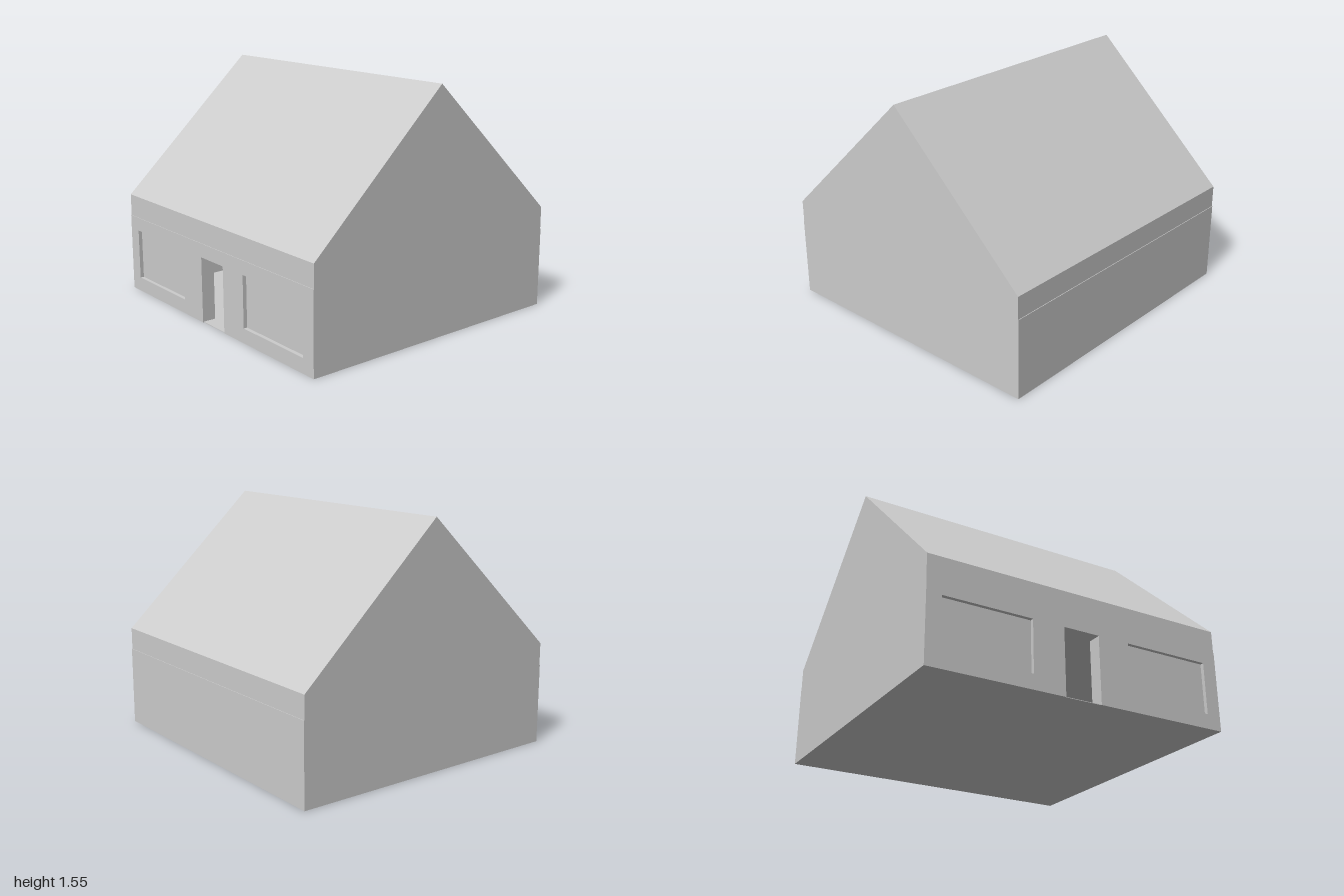
import * as THREE from 'three';

const HALF_X = 1, HALF_Z = 0.947, WALL_H = 0.52, THICK = 0.09;

function rect(path, x0, y0, x1, y1) {
  path.moveTo(x0, y0);
  path.lineTo(x1, y0);
  path.lineTo(x1, y1);
  path.lineTo(x0, y1);
  path.closePath();
  return path;
}

export function createModel() {
  const house = new THREE.Group();
  house.name = 'house';
  const material = new THREE.MeshStandardMaterial({ color: 0xcccccc, flatShading: true });

  const add = (name, geometry, x = 0, y = 0, z = 0) => {
    const mesh = new THREE.Mesh(geometry, material);
    mesh.name = name;
    mesh.position.set(x, y, z);
    house.add(mesh);
    return mesh;
  };
  const box = (name, w, h, d, x, y, z) => add(name, new THREE.BoxGeometry(w, h, d), x, y, z);

  // Front wall with an open doorway and two window openings
  const front = new THREE.Shape();
  [[-HALF_X, 0], [-0.12, 0], [-0.12, 0.43], [0.12, 0.43], [0.12, 0],
    [HALF_X, 0], [HALF_X, WALL_H], [-HALF_X, WALL_H]]
    .forEach(([x, y], i) => (i ? front.lineTo(x, y) : front.moveTo(x, y)));
  front.closePath();
  for (const cx of [-0.618, 0.618]) {
    front.holes.push(rect(new THREE.Path(), cx - 0.288, 0.095, cx + 0.288, 0.43));
  }
  add('frontWall', new THREE.ExtrudeGeometry(front, { depth: THICK, bevelEnabled: false }),
    0, 0, HALF_Z - THICK);

  // Window panes set just behind the wall face
  for (const [name, cx] of [['rightWindow', -0.618], ['leftWindow', 0.618]]) {
    box(name, 0.576, 0.335, 0.03, cx, 0.2625, HALF_Z - 0.04);
  }

  // Back and side walls around the hollow room
  box('backWall', 2 * HALF_X, WALL_H, THICK, 0, WALL_H / 2, -HALF_Z + THICK / 2);
  const sideDepth = 2 * (HALF_Z - THICK);
  for (const [name, s] of [['rightWall', -1], ['leftWall', 1]]) {
    box(name, THICK, WALL_H, sideDepth, s * (HALF_X - THICK / 2), WALL_H / 2, 0);
  }

  // Thin floor, visible through the doorway
  box('floor', 2 * HALF_X - 0.01, 0.004, 2 * HALF_Z - 0.01, 0, 0.002, 0);

  // Gabled roof block with a shallow upright eave band
  const eave = HALF_Z - 0.004;
  const gable = new THREE.Shape();
  gable.moveTo(-eave, WALL_H);
  gable.lineTo(eave, WALL_H);
  gable.lineTo(eave, 0.665);
  gable.lineTo(0, 1.55);
  gable.lineTo(-eave, 0.665);
  gable.closePath();
  const roof = new THREE.ExtrudeGeometry(gable, { depth: 2 * HALF_X, bevelEnabled: false });
  roof.translate(0, 0, -HALF_X);
  roof.rotateY(Math.PI / 2);
  add('roof', roof);

  return house;
}
